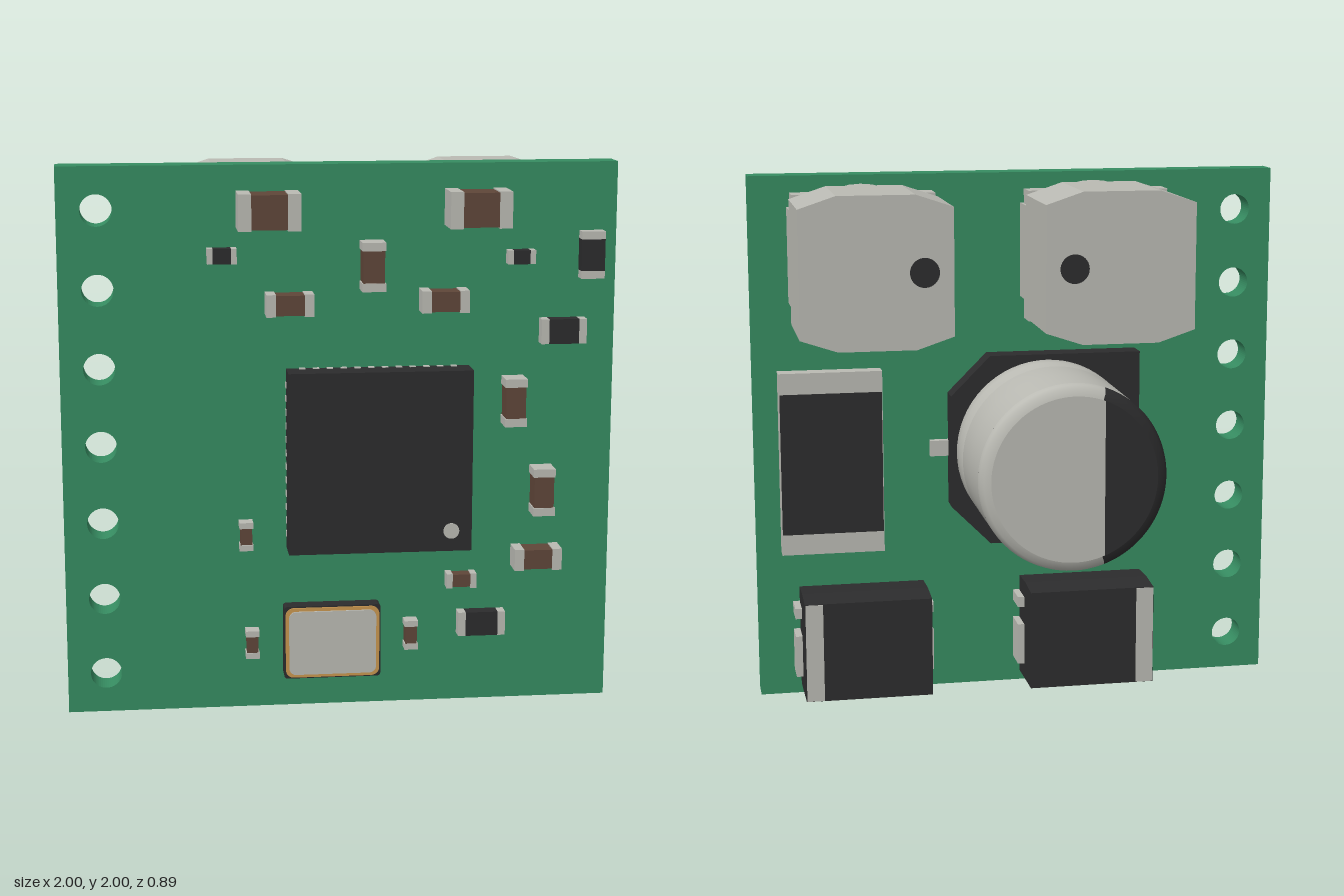
import * as THREE from 'three';

const mat = (name, color) => {
  const m = new THREE.MeshStandardMaterial({ color });
  m.name = name;
  return m;
};

export function createModel() {
  const green = mat('boardGreen', 0x368c61);
  const metal = mat('metalGrey', 0xbabab3);
  const black = mat('caseBlack', 0x2c2c2d);
  const brown = mat('ceramicBrown', 0x5f4639);
  const gold = mat('gold', 0xc8964f);

  const model = new THREE.Group();
  model.name = 'circuitBoard';
  const FRONT = 0.305, BACK = 0.2;

  const group = (name, parent = model) => {
    const g = new THREE.Group();
    g.name = name;
    parent.add(g);
    return g;
  };
  const add = (parent, name, geo, material, x = 0, y = 0, z = 0) => {
    const m = new THREE.Mesh(geo, material);
    m.name = name;
    m.position.set(x, y, z);
    parent.add(m);
    return m;
  };
  // Box given by its limits on each axis
  const box = (parent, name, material, x0, x1, y0, y1, z0, z1) =>
    add(parent, name, new THREE.BoxGeometry(x1 - x0, y1 - y0, z1 - z0), material,
      (x0 + x1) / 2, (y0 + y1) / 2, (z0 + z1) / 2);
  const polygon = (pts) => new THREE.Shape(pts.map(([x, y]) => new THREE.Vector2(x, y)));
  const extrude = (shape, depth) =>
    new THREE.ExtrudeGeometry(shape, { depth, bevelEnabled: false, curveSegments: 24 });
  // Round part with its axis along z
  const disc = (r, depth) => new THREE.CylinderGeometry(r, r, depth, 40).rotateX(Math.PI / 2);

  // Board with a row of seven holes
  const outline = polygon([[-1, 0], [1, 0], [1, 2], [-1, 2]]);
  for (let i = 0; i < 7; i++) {
    const hole = new THREE.Path();
    hole.absarc(-0.86, 0.147 + i * 0.283, 0.057, 0, Math.PI * 2, true);
    outline.holes.push(hole);
  }
  add(model, 'board', extrude(outline, FRONT - BACK), green, 0, 0, BACK);

  // Small two-ended parts: x0, x1, y0, y1, top, end length, body colour
  const chips = [
    [-0.37, -0.15, 1.78, 1.91, 0.445, 0.046, brown],
    [0.375, 0.595, 1.78, 1.91, 0.445, 0.046, brown],
    [0.07, 0.155, 1.555, 1.73, 0.395, 0.03, brown],
    [-0.27, -0.10, 1.47, 1.55, 0.395, 0.034, brown],
    [0.285, 0.455, 1.475, 1.555, 0.395, 0.034, brown],
    [0.59, 0.67, 1.055, 1.23, 0.395, 0.03, brown],
    [0.70, 0.78, 0.72, 0.895, 0.395, 0.03, brown],
    [0.635, 0.81, 0.515, 0.595, 0.395, 0.035, brown],
    [0.39, 0.50, 0.445, 0.50, 0.36, 0.022, brown],
    [0.235, 0.285, 0.215, 0.325, 0.36, 0.022, brown],
    [-0.37, -0.32, 0.61, 0.715, 0.36, 0.022, brown],
    [-0.35, -0.30, 0.20, 0.305, 0.36, 0.022, brown],
    [-0.475, -0.37, 1.655, 1.71, 0.35, 0.02, black],
    [0.60, 0.70, 1.64, 1.69, 0.35, 0.02, black],
    [0.865, 0.95, 1.585, 1.755, 0.357, 0.028, black],
    [0.725, 0.89, 1.35, 1.44, 0.357, 0.028, black],
    [0.435, 0.61, 0.26, 0.35, 0.357, 0.028, black],
  ];
  for (const [x0, x1, y0, y1, top, e, body] of chips) {
    const g = group(body === brown ? 'chipCapacitor' : 'chipResistor');
    const s = body === brown ? 0.004 : 0; // body sits slightly inside its ends
    if (x1 - x0 > y1 - y0) {
      box(g, 'body', body, x0 + e, x1 - e, y0 + s, y1 - s, FRONT, top - s);
      box(g, 'end', metal, x0, x0 + e, y0, y1, FRONT, top);
      box(g, 'end', metal, x1 - e, x1, y0, y1, FRONT, top);
    } else {
      box(g, 'body', body, x0 + s, x1 - s, y0 + e, y1 - e, FRONT, top - s);
      box(g, 'end', metal, x0, x1, y0, y0 + e, FRONT, top);
      box(g, 'end', metal, x0, x1, y1 - e, y1, FRONT, top);
    }
  }

  // Main processor with edge pads and a pin mark
  const ic = group('mainChip');
  box(ic, 'body', black, -0.195, 0.47, 0.605, 1.27, FRONT, 0.415);
  add(ic, 'pinMark', disc(0.029, 0.004), metal, 0.395, 0.68, 0.415);
  for (let i = 0; i < 12; i++) {
    const d = -0.275 + i * 0.05;
    for (const s of [-1, 1]) {
      add(ic, 'pad', new THREE.BoxGeometry(0.022, 0.005, 0.02), metal, 0.1375 + d, 0.9375 + s * 0.333, 0.318);
      add(ic, 'pad', new THREE.BoxGeometry(0.005, 0.022, 0.02), metal, 0.1375 + s * 0.333, 0.9375 + d, 0.318);
    }
  }

  // Crystal: black base, gold rim, metal lid
  const roundRect = (w, h, r) => {
    const s = new THREE.Shape(), x = w / 2 - r, y = h / 2 - r, q = Math.PI / 2;
    [[x, y], [-x, y], [-x, -y], [x, -y]].forEach(([a, b], i) => s.absarc(a, b, r, i * q, (i + 1) * q, false));
    return s;
  };
  const crystal = group('crystal');
  add(crystal, 'base', extrude(roundRect(0.355, 0.275, 0.012), 0.057), black, -0.0325, 0.2575, FRONT);
  add(crystal, 'rim', extrude(roundRect(0.345, 0.265, 0.03), 0.006), gold, -0.0325, 0.2575, 0.362);
  add(crystal, 'lid', extrude(roundRect(0.32, 0.24, 0.025), 0.007), metal, -0.0325, 0.2575, 0.368);

  // Power inductors on the back, mirrored marks
  for (const [cx, side] of [[-0.295, 1], [0.585, -1]]) {
    const g = group('inductor');
    g.position.set(cx, 1.695, 0);
    const w = 0.275, a = 0.14, b = 0.23;
    const shape = polygon([[-w, -b], [-a, -w], [a, -w], [w, -b], [w, b], [a, w], [-a, w], [-w, b]]);
    add(g, 'case', extrude(shape, 0.385), metal, 0, 0, -0.305);
    add(g, 'core', disc(0.272, 0.11), metal, 0, 0, 0.135);
    for (const sx of [-1, 1]) {
      box(g, 'terminal', metal, sx * 0.205 - 0.07, sx * 0.205 + 0.07, -0.165, 0.19, 0.08, BACK);
      for (const sy of [-1, 1])
        add(g, 'foot', new THREE.BoxGeometry(0.1, 0.09, 0.1), metal, sx * 0.215, sy * 0.2, 0.13);
    }
    add(g, 'mark', disc(0.053, 0.006), black, side * 0.17, 0, -0.305);
  }

  // Can capacitor on a black base
  const can = group('canCapacitor');
  can.position.set(-0.1, 0.955, 0);
  const h = 0.365, c = 0.15;
  add(can, 'base', extrude(polygon([[-h, -h], [h - c, -h], [h, c - h], [h, h - c], [h - c, h], [-h, h]]), 0.09),
    black, 0, 0, 0.095);
  for (const s of [-1, 1])
    add(can, 'lead', new THREE.BoxGeometry(0.13, 0.06, 0.03), metal, s * 0.37, 0, 0.185);
  const lathe = (pts, start, length) => new THREE.LatheGeometry(
    pts.map(([r, y]) => new THREE.Vector2(r, y)), 64, start, length).rotateX(-Math.PI / 2);
  add(can, 'can', lathe([[0.33, -0.1], [0.346, -0.085], [0.346, -0.025], [0.335, -0.005], [0.316, 0.008],
    [0.313, 0.02], [0.316, 0.032], [0.335, 0.045], [0.346, 0.06], [0.346, 0.23], [0.346, 0.4]], 0, Math.PI * 2), metal);
  const rim = [[0.346, 0.4], [0.342, 0.42], [0.33, 0.437], [0.305, 0.445]];
  const t = Math.acos(0.11 / 0.33), R = 0.305, u = Math.acos(0.11 / R);
  add(can, 'rimMark', lathe(rim, 1.5 * Math.PI - t, 2 * t), black);
  add(can, 'rim', lathe(rim, 1.5 * Math.PI + t, 2 * Math.PI - 2 * t), metal);
  const segment = (a0, a1) => {
    const s = new THREE.Shape();
    s.absarc(0, 0, R, a0, a1, false);
    return new THREE.ShapeGeometry(s, 48).rotateY(Math.PI);
  };
  add(can, 'topMark', segment(-u, u), black, 0, 0, -0.445);
  add(can, 'top', segment(u, 2 * Math.PI - u), metal, 0, 0, -0.445);

  // Large flat resistor on the back
  const res = group('largeResistor');
  box(res, 'body', metal, 0.52, 0.91, 0.57, 1.27, 0.135, BACK);
  box(res, 'film', black, 0.523, 0.907, 0.65, 1.19, 0.13, 0.136);

  // Two diodes, mirrored so their bands face outwards
  for (const [cx, s] of [[0.605, 1], [-0.255, -1]]) {
    const g = group('diode');
    g.position.set(cx, 0.235, 0);
    const profile = polygon([[-0.19, -0.195], [0.05, -0.19], [0.05, 0.19], [-0.07, 0.2], [-0.19, 0.195]]
      .map(([a, y]) => [a, y]));
    add(g, 'body', extrude(profile, 0.48).rotateY(Math.PI / 2), black, -0.24, 0, 0);
    const bx = s * 0.205;
    box(g, 'band', metal, bx - 0.033, bx + 0.033, -0.188, 0.188, -0.054, -0.049);
    for (const e of [-1, 1]) {
      box(g, 'lead', metal, e * 0.245 - 0.02, e * 0.245 + 0.02, -0.135, 0.025, 0.09, BACK);
      box(g, 'leadStrip', metal, e * 0.245 - 0.02, e * 0.245 + 0.02, 0.095, 0.135, 0.09, BACK);
    }
  }
  return model;
}
